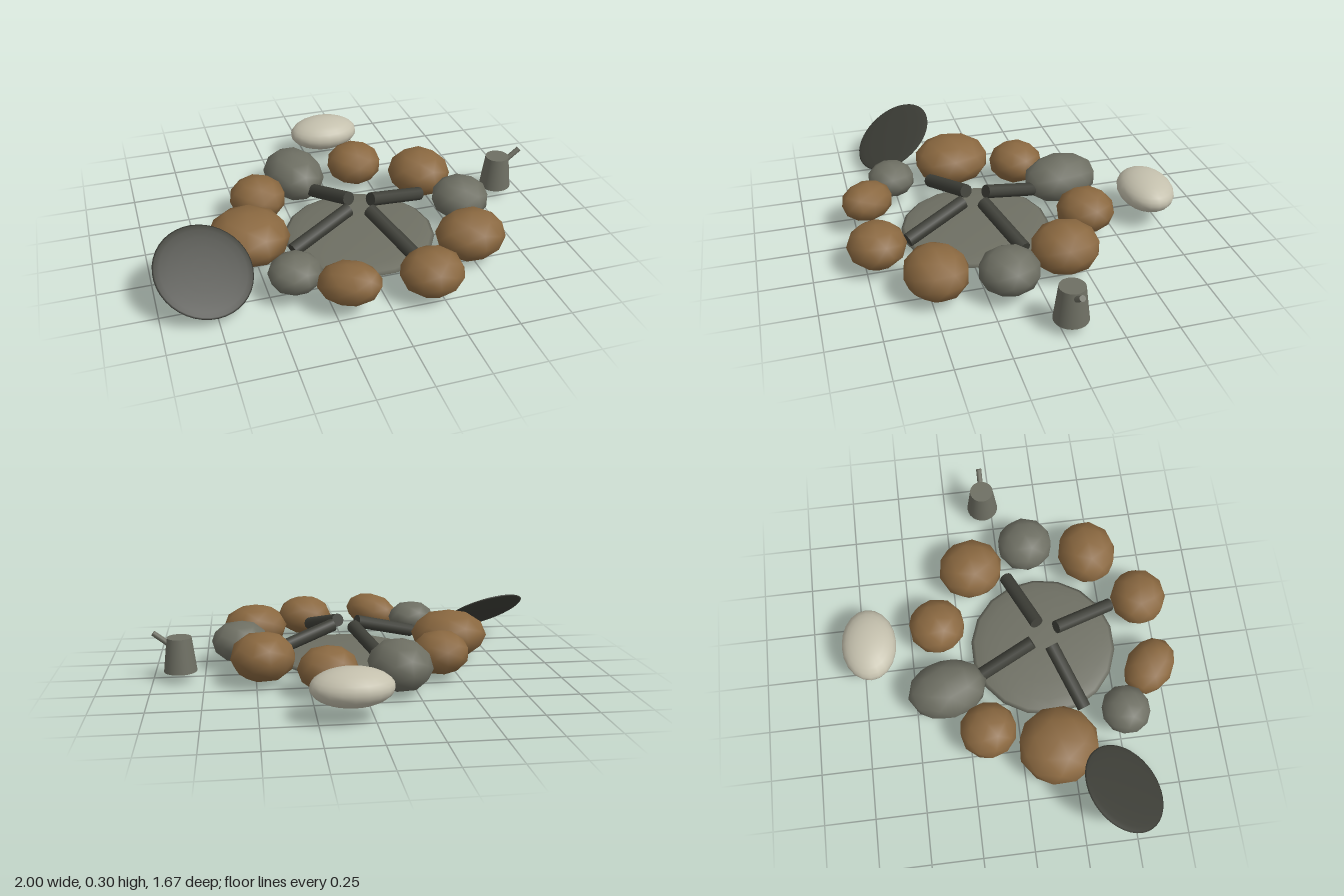
import * as THREE from 'three';
import { mergeVertices } from 'three/addons/utils/BufferGeometryUtils.js';

const mat = (name, color) => {
  const m = new THREE.MeshStandardMaterial({ color });
  m.name = name;
  return m;
};

// Low-poly pebble: shared vertices give it smooth shading
function pebbleGeometry() {
  const g = new THREE.IcosahedronGeometry(1, 1);
  g.deleteAttribute('normal');
  g.deleteAttribute('uv');
  const merged = mergeVertices(g, 1e-3);
  merged.computeVertexNormals();
  return merged;
}

export function createModel() {
  const model = new THREE.Group();
  const brown = mat('brownStone', 0x8a6840);
  const grey = mat('greyStone', 0x6e6f63);
  const dark = mat('charred', 0x3e3f38);
  const pale = mat('paleStone', 0xc4c0ad);

  const add = (name, geo, material, x, y, z) => {
    const mesh = new THREE.Mesh(geo, material);
    mesh.name = name;
    mesh.position.set(x, y, z);
    model.add(mesh);
    return mesh;
  };

  // Cylinder running between two points
  const rod = (name, a, b, r, material) => {
    const dir = b.clone().sub(a);
    const mid = a.clone().add(b).multiplyScalar(0.5);
    const mesh = add(name, new THREE.CylinderGeometry(r, r, dir.length(), 12), material, mid.x, mid.y, mid.z);
    mesh.quaternion.setFromUnitVectors(new THREE.Vector3(0, 1, 0), dir.normalize());
  };

  // Ash bed: very flat mound
  add('ashBed', new THREE.SphereGeometry(1, 18, 10), grey, 0.03, 0.04, 0.175).scale.set(0.37, 0.037, 0.37);

  // Ring of stones: material, x, y, z, radii x y z, turn, lean
  const stones = [
    [brown, 0.17, 0.13, -0.355, 0.145, 0.11, 0.145, 0.5, 0],
    [brown, 0.465, 0.138, -0.15, 0.16, 0.122, 0.167, 0.2, 0],
    [grey, 0.573, 0.135, 0.148, 0.145, 0.107, 0.145, 0.4, 0],
    [brown, 0.49, 0.13, 0.465, 0.172, 0.12, 0.152, 0.1, 0],
    [brown, 0.205, 0.13, 0.69, 0.15, 0.108, 0.142, -0.1, 0],
    [brown, -0.18, 0.145, 0.68, 0.153, 0.095, 0.118, -0.7, 0.15],
    [grey, -0.385, 0.137, 0.528, 0.126, 0.09, 0.122, 0.3, 0],
    [brown, -0.522, 0.133, 0.175, 0.196, 0.123, 0.203, 0.3, 0],
    [brown, -0.405, 0.13, -0.157, 0.142, 0.11, 0.144, 0.6, 0],
    [grey, -0.172, 0.13, -0.335, 0.152, 0.122, 0.2, 0.15, 0],
  ];
  const pebble = pebbleGeometry();
  for (const [m, x, y, z, rx, ry, rz, turn, lean] of stones) {
    const s = add('ringStone', pebble, m, x, y, z);
    s.scale.set(rx, ry, rz);
    s.rotation.set(0, turn, lean);
  }

  // Smooth pale stone set apart behind the ring
  add('paleStone', new THREE.SphereGeometry(1, 20, 14), pale, 0.1, 0.155, -0.703).scale.set(0.187, 0.086, 0.137);

  // Four charred logs leaning together: inner x, z then outer x, z
  const logs = [
    [-0.005, 0.11, -0.115, -0.165],
    [0.095, 0.147, 0.4, 0.028],
    [-0.035, 0.203, -0.345, 0.328],
    [0.06, 0.24, 0.185, 0.54],
  ];
  for (const [ix, iz, ox, oz] of logs) {
    rod('log', new THREE.Vector3(ix, 0.207, iz), new THREE.Vector3(ox, 0.115, oz), 0.034, dark);
  }

  // Thin round pan leaning on the ring
  const pan = add('pan', new THREE.SphereGeometry(1, 40, 12), dark, -0.778, 0.178, 0.452);
  pan.scale.set(0.227, 0.015, 0.227);
  pan.quaternion.setFromUnitVectors(new THREE.Vector3(0, 1, 0), new THREE.Vector3(0.2, 0.825, 0.53).normalize());

  // Tapered pot with a slanted handle
  add('pot', new THREE.CylinderGeometry(0.06, 0.081, 0.17, 24), grey, 0.865, 0.135, -0.045);
  rod('potHandle', new THREE.Vector3(0.915, 0.187, -0.045), new THREE.Vector3(0.988, 0.245, -0.045), 0.014, grey);

  return model;
}
